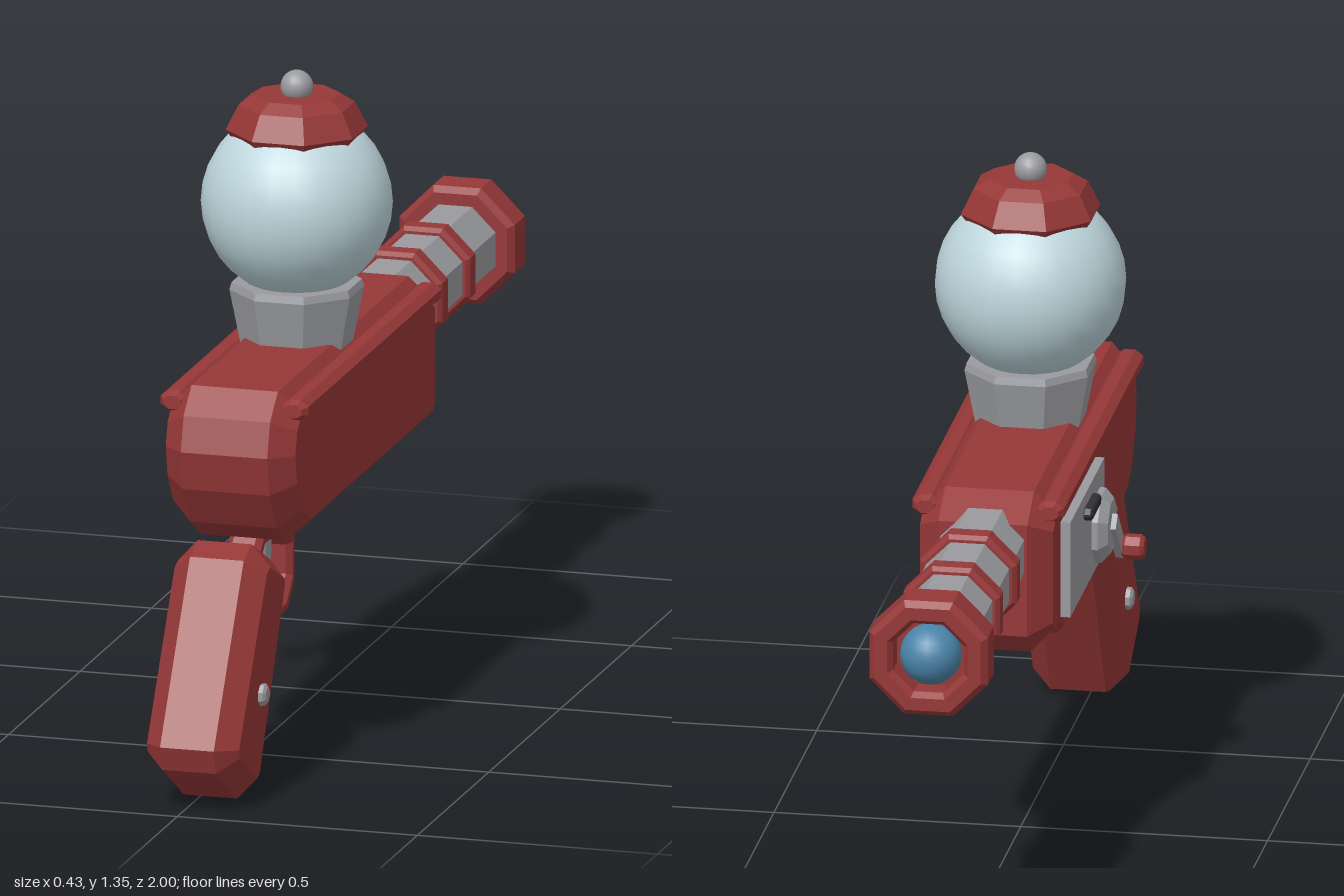
import * as THREE from 'three';

const mat = (name, color) => {
  const m = new THREE.MeshStandardMaterial({ color });
  m.name = name;
  return m;
};

export function createModel() {
  const red = mat('red', 0x963737);
  const grey = mat('grey metal', 0x9a9b9f);
  const glass = mat('pale glass', 0xbdd5dc);
  const blue = mat('blue lens', 0x4a84a8);
  const dark = mat('dark slot', 0x303034);

  const root = new THREE.Group();
  const gun = new THREE.Group();
  gun.name = 'toyBlaster';
  gun.position.x = 0.02;
  root.add(gun);

  const add = (name, geo, material, x = 0, y = 0, z = 0) => {
    const m = new THREE.Mesh(geo, material);
    m.name = name;
    m.position.set(x, y, z);
    gun.add(m);
    return m;
  };

  // faceted eight-sided turning; profile is [radius to the flats, height]
  const turned = (profile, sides = 8) => {
    const k = 1 / Math.cos(Math.PI / sides);
    const pts = profile.map(([r, h]) => new THREE.Vector2(r * k, h));
    const g = new THREE.LatheGeometry(pts, sides, Math.PI / sides).toNonIndexed();
    g.computeVertexNormals();
    return g;
  };

  // side outline in (z, y), extruded across x with chamfered edges
  const slab = (outline, width, bevel, hole) => {
    const toPts = (a) => a.map(([z, y]) => new THREE.Vector2(z, y));
    const shape = new THREE.Shape(toPts(outline));
    if (hole) shape.holes.push(new THREE.Path(toPts(hole)));
    const g = new THREE.ExtrudeGeometry(shape, {
      depth: width - 2 * bevel, bevelEnabled: true, bevelSegments: 1,
      bevelSize: bevel, bevelThickness: bevel, bevelOffset: -bevel,
    });
    g.translate(0, 0, bevel - width / 2);
    g.rotateY(-Math.PI / 2);
    return g;
  };

  const chamferedBox = (z0, z1, y0, y1, c) => [
    [z0 + c, y0], [z1 - c, y0], [z1, y0 + c], [z1, y1 - c],
    [z1 - c, y1], [z0 + c, y1], [z0, y1 - c], [z0, y0 + c],
  ];

  // body
  add('body', slab([
    [-0.29, 0.485], [0.60, 0.485], [0.675, 0.53], [0.725, 0.61], [0.74, 0.69],
    [0.72, 0.76], [0.665, 0.81], [-0.25, 0.81], [-0.33, 0.765], [-0.33, 0.53],
  ], 0.27, 0.045), red);

  // rails along both upper edges
  for (const s of [-1, 1]) {
    const rail = turned([[0, -0.48], [0.018, -0.48], [0.028, -0.465],
      [0.028, 0.465], [0.018, 0.48], [0, 0.48]]);
    rail.rotateX(-Math.PI / 2);
    rail.scale(1, 0.75, 1);
    add(s > 0 ? 'leftRail' : 'rightRail', rail, red, s * 0.126, 0.775, 0.2);
  }

  // grip and its screws
  add('grip', slab([
    [0.735, 0.51], [0.605, 0.445], [0.592, 0.40], [0.785, 0.025],
    [0.835, 0.01], [0.985, 0.10], [1.0, 0.15], [0.79, 0.49],
  ], 0.192, 0.04), red);
  for (const s of [-1, 1]) {
    const screw = turned([[0, 0], [0.021, 0], [0.021, 0.02], [0.014, 0.025], [0, 0.025]]);
    screw.rotateZ(-s * Math.PI / 2);
    add('gripScrew', screw, grey, s * 0.085, 0.22, 0.803);
  }

  // trigger and guard
  add('triggerGuard', slab(chamferedBox(0.35, 0.64, 0.28, 0.49, 0.055), 0.07, 0.012,
    chamferedBox(0.385, 0.605, 0.315, 0.455, 0.04)), red);
  add('trigger', slab([
    [0.475, 0.49], [0.49, 0.375], [0.5, 0.365], [0.52, 0.365], [0.53, 0.375], [0.55, 0.49],
  ], 0.05, 0.01), grey);

  // barrel parts, turned along -z
  const alongBarrel = (name, profile, material) => {
    const g = turned(profile);
    g.rotateX(-Math.PI / 2);
    add(name, g, material, 0, 0.7, 0);
  };
  alongBarrel('barrel', [[0, 0.28], [0.084, 0.28], [0.084, 0.9], [0, 0.9]], grey);
  for (const h of [0.48, 0.675]) {
    alongBarrel('barrelRing', [[0.08, h - 0.027], [0.09, h - 0.027], [0.098, h - 0.018],
      [0.098, h + 0.018], [0.09, h + 0.027], [0.08, h + 0.027]], red);
  }
  alongBarrel('muzzle', [[0.07, 0.88], [0.108, 0.88], [0.12, 0.893], [0.12, 0.965],
    [0.108, 0.978], [0.082, 0.978], [0.072, 0.965], [0.072, 0.92], [0, 0.92]], red);
  add('muzzleLens', new THREE.SphereGeometry(0.062, 20, 14), blue, 0, 0.7, -0.938);

  // globe on its cup, with cap and finial
  const gz = 0.23;
  add('globeCup', turned([[0, 0.79], [0.104, 0.79], [0.125, 0.905], [0.121, 0.92], [0, 0.92]]),
    grey, 0, 0, gz);
  add('globe', new THREE.SphereGeometry(0.192, 24, 16), glass, 0, 1.085, gz);
  add('globeCap', turned([[0, 1.22], [0.122, 1.22], [0.132, 1.236], [0.108, 1.287],
    [0.08, 1.306], [0, 1.306]]), red, 0, 0, gz);
  add('finial', new THREE.SphereGeometry(0.033, 16, 12), grey, 0, 1.322, gz);

  // side plate with slot and crank on the right side
  const plate = new THREE.BoxGeometry(0.03, 0.2, 0.4);
  add('sidePlate', plate, grey, -0.14, 0.63, 0);
  add('slot', slab(chamferedBox(-0.05, 0.065, 0.68, 0.705, 0.01), 0.02, 0.004),
    dark, -0.163, 0, 0);
  const outward = (g) => g.rotateZ(Math.PI / 2);
  add('crankHub', outward(turned([[0, 0], [0.07, 0], [0.07, 0.012], [0.052, 0.03], [0, 0.03]])),
    grey, -0.155, 0.615, 0.12);
  const arm = add('crankArm', new THREE.BoxGeometry(0.016, 0.035, 0.13), grey, -0.188, 0.583, 0.152);
  arm.rotation.x = Math.atan2(0.065, 0.065);
  add('crankKnob', outward(turned([[0, 0], [0.018, 0], [0.024, 0.008], [0.024, 0.038],
    [0.018, 0.046], [0, 0.046]])), red, -0.194, 0.55, 0.185);

  return root;
}
